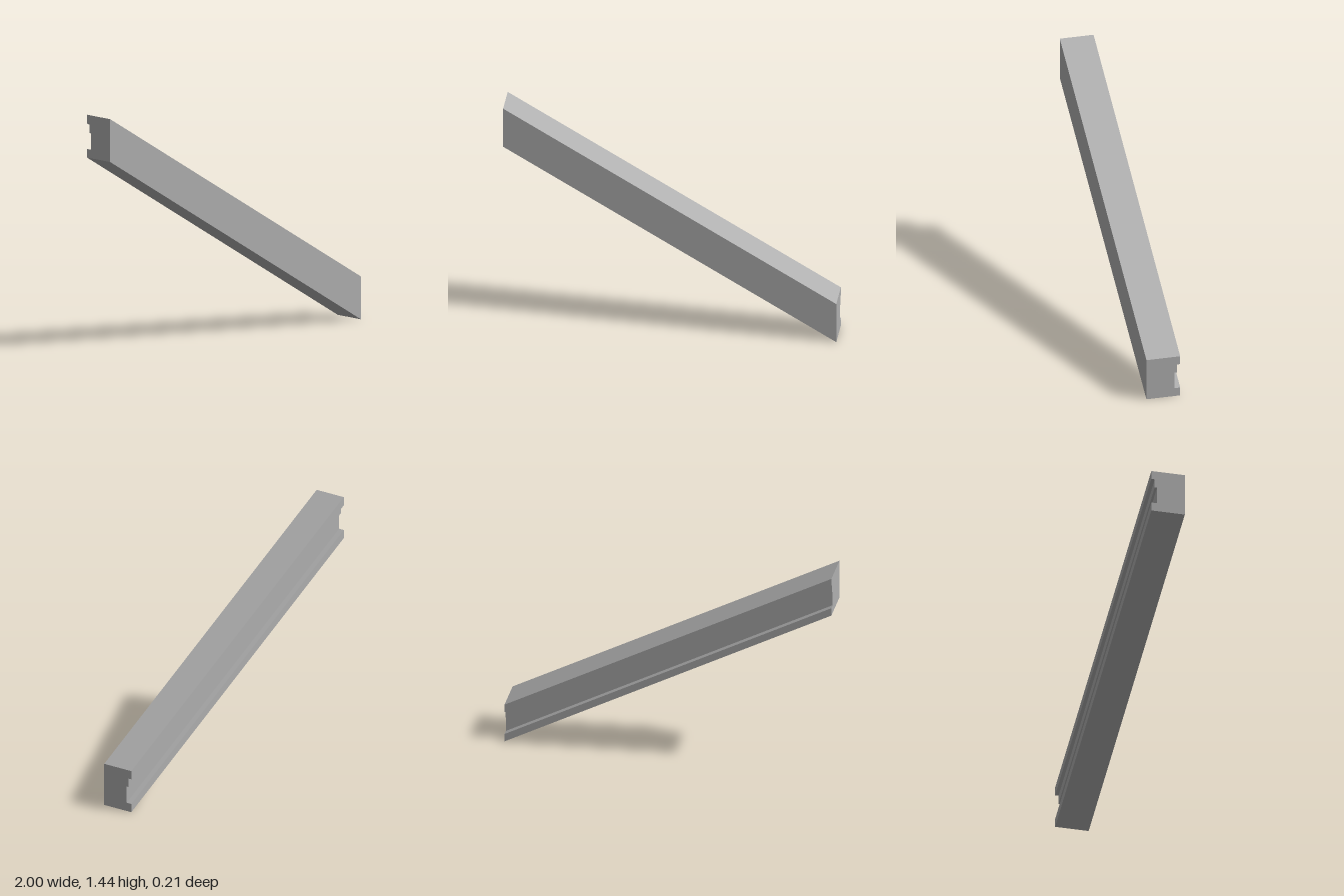
import * as THREE from 'three';

const SLOPE = 0.592; // drop per unit of length

export function createModel() {
  const group = new THREE.Group();
  group.name = 'slopedRail';
  const grey = new THREE.MeshStandardMaterial({ color: 0xb0b0b0 });
  grey.name = 'grey';

  // Cross-section: back side (+X of the shape) carries a stepped groove
  const section = new THREE.Shape([
    [-0.104, 0], [0.104, 0], [0.104, 0.052], [0.069, 0.052], [0.069, 0.154],
    [0.083, 0.154], [0.083, 0.207], [0.104, 0.207], [0.104, 0.259], [-0.104, 0.259],
  ].map(([x, y]) => new THREE.Vector2(x, y)));

  // Run the section along x, then shear it so the ends stay vertical
  const geometry = new THREE.ExtrudeGeometry(section, { depth: 2, bevelEnabled: false });
  geometry.translate(0, 0, -1);
  geometry.rotateY(Math.PI / 2);
  geometry.applyMatrix4(new THREE.Matrix4().set(
    1, 0, 0, 0,
    -SLOPE, 1, 0, SLOPE,
    0, 0, 1, 0,
    0, 0, 0, 1,
  ));
  geometry.computeVertexNormals();

  const rail = new THREE.Mesh(geometry, grey);
  rail.name = 'groovedRail';
  group.add(rail);
  return group;
}
